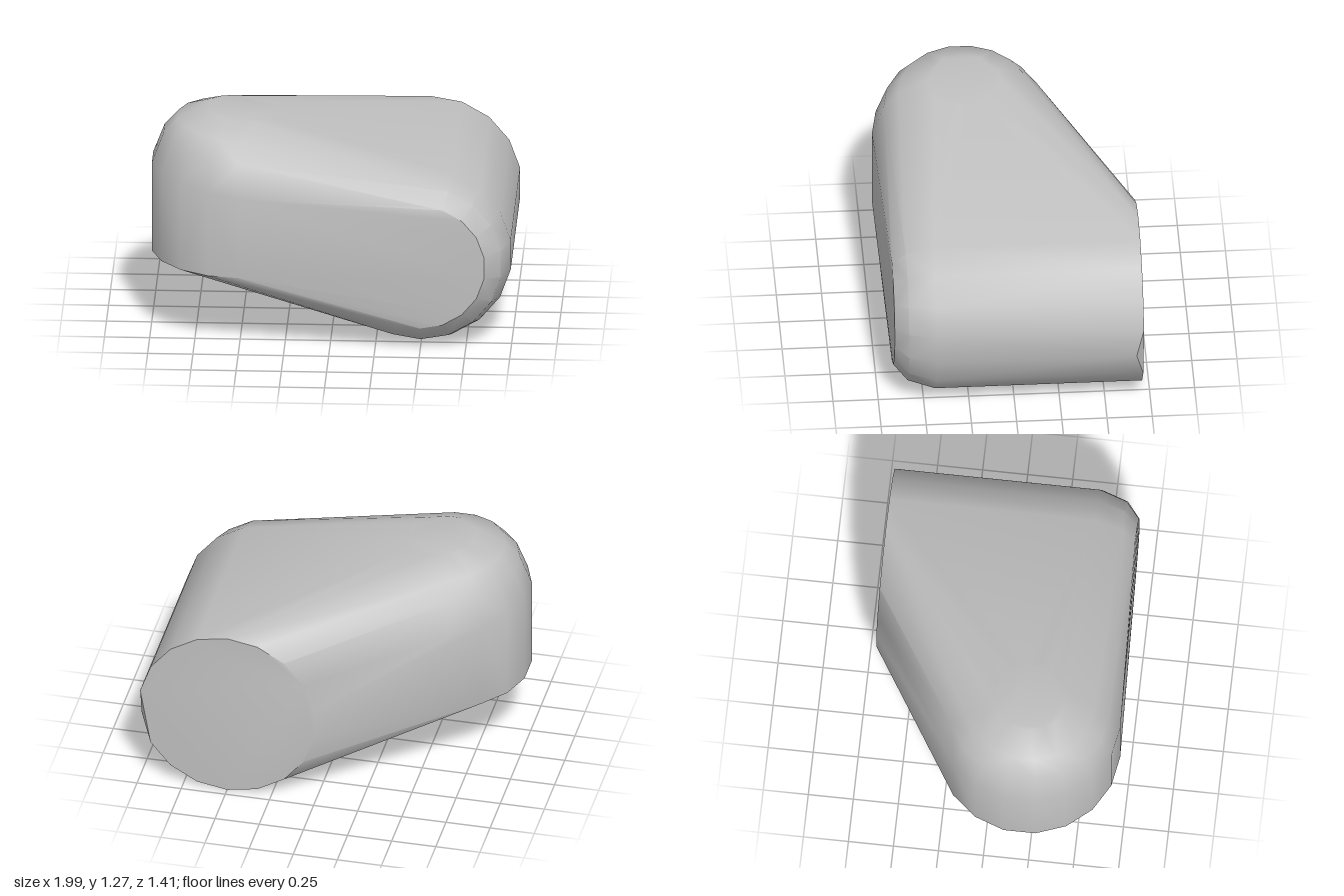
import * as THREE from 'three';
import { ConvexGeometry } from 'three/addons/geometries/ConvexGeometry.js';
import { toCreasedNormals } from 'three/addons/utils/BufferGeometryUtils.js';

const SIDES = 18;

// Calls place(cos, sin, index) for each corner of a ring
function ring(place) {
  return Array.from({ length: SIDES }, (_, i) => {
    const a = ((10 + i * 20) * Math.PI) / 180;
    return place(Math.cos(a), Math.sin(a), i);
  });
}

export function createModel() {
  const group = new THREE.Group();
  const grey = new THREE.MeshStandardMaterial({ color: 0xbfbfbf });
  grey.name = 'plain grey';
  const points = [];

  // Horizontal cylinder: flat back end, rounded front end [radius, z]
  for (const [r, z] of [[0.5, -0.705], [0.5, 0.44], [0.45, 0.59], [0.36, 0.665]]) {
    points.push(...ring((c, s, i) => {
      // One corner of the back rim is chipped slightly forward
      const chipped = z < 0 && i === SIDES - 1;
      return new THREE.Vector3(0.5 + r * c, 0.5 + r * s, chipped ? -0.665 : z);
    }));
  }

  // Upright cylinder: flat foot, rounded and tilted top [radius, y, tilt]
  for (const [r, y, tilt] of [
    [0.505, 0.435, 0], [0.505, 0.9, 0.11], [0.44, 1.08, 0.1], [0.36, 1.17, 0.12], [0.2, 1.248, 0.11],
  ]) {
    points.push(...ring((c, s) => new THREE.Vector3(-0.5 + r * c, y - tilt * r * c, 0.2 + r * s)));
  }

  // One skin stretched around both cylinders
  const skin = new ConvexGeometry(points);
  const body = new THREE.Mesh(toCreasedNormals(skin, 0.6), grey);
  body.name = 'body';
  group.add(body);
  return group;
}
